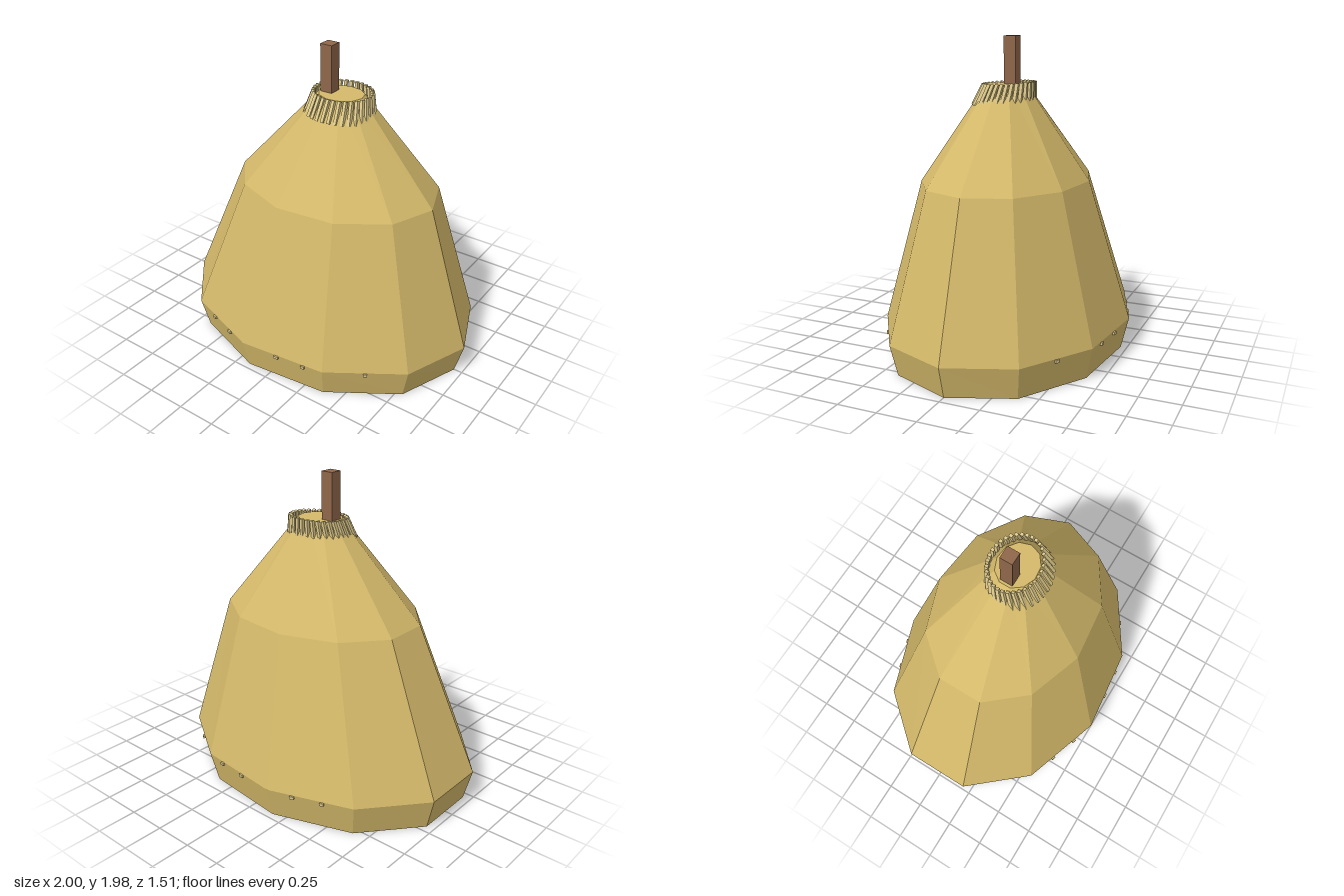
import * as THREE from 'three';

const SIDES = 11;

// Faceted shell lofted through elliptical rings [y, centreX, radiusX, radiusZ], closed at both ends
function loft(rings) {
  const pos = [];
  const point = ([y, cx, rx, rz], k) => {
    const a = (k / SIDES) * Math.PI * 2;
    return [cx + rx * Math.cos(a), y, rz * Math.sin(a)];
  };
  const tri = (a, b, c) => pos.push(...a, ...b, ...c);
  const low = rings[0], high = rings[rings.length - 1];
  for (let k = 0; k < SIDES; k++) {
    for (let i = 0; i < rings.length - 1; i++) {
      const a = point(rings[i], k), b = point(rings[i], k + 1);
      const c = point(rings[i + 1], k + 1), d = point(rings[i + 1], k);
      tri(a, d, c);
      tri(a, c, b);
    }
    tri([low[1], low[0], 0], point(low, k), point(low, k + 1));
    tri([high[1], high[0], 0], point(high, k + 1), point(high, k));
  }
  const g = new THREE.BufferGeometry();
  g.setAttribute('position', new THREE.Float32BufferAttribute(pos, 3));
  g.computeVertexNormals();
  return g;
}

export function createModel() {
  const model = new THREE.Group();
  const gold = new THREE.MeshStandardMaterial({ name: 'thatch gold', color: 0xd4b96a });
  const pale = new THREE.MeshStandardMaterial({ name: 'pale straw', color: 0xdcc88a });
  const brown = new THREE.MeshStandardMaterial({ name: 'wood brown', color: 0x8f674a });

  const add = (name, geometry, material, parent = model) => {
    const m = new THREE.Mesh(geometry, material);
    m.name = name;
    parent.add(m);
    return m;
  };

  // Bell-shaped body
  add('body', loft([
    [0, -0.022, 0.967, 0.717],
    [0.2, -0.021, 1.021, 0.765],
    [1.1, 0.039, 0.676, 0.512],
    [1.688, 0.06, 0.147, 0.127],
  ]), gold);

  // Square wooden stem
  add('stem', new THREE.BoxGeometry(0.08, 0.385, 0.08), brown).position.set(-0.025, 1.79, 0);

  // Collar of straws around the neck, leaning outwards as they run down into the body
  const collar = new THREE.Group();
  collar.name = 'strawCollar';
  model.add(collar);
  const COUNT = 32;
  for (let i = 0; i < COUNT; i++) {
    const a = (i / COUNT) * Math.PI * 2;
    const top = new THREE.Vector3(0.06 + 0.165 * Math.cos(a), 1.7, 0.135 * Math.sin(a));
    const foot = new THREE.Vector3(0.06 + 0.242 * Math.cos(a), 1.56, 0.2 * Math.sin(a));
    const up = top.clone().sub(foot);
    const length = up.length();
    up.normalize();
    const side = new THREE.Vector3(-Math.sin(a), 0, Math.cos(a));
    const out = new THREE.Vector3().crossVectors(up, side).normalize();
    side.crossVectors(out, up);
    const straw = add('straw', new THREE.BoxGeometry(0.02, length, 0.022), pale, collar);
    straw.quaternion.setFromRotationMatrix(new THREE.Matrix4().makeBasis(side, up, out));
    straw.position.copy(top).add(foot).multiplyScalar(0.5);
  }

  // Straw tips poking through the hem: [x, z, turn, width], mirrored front to back
  const tips = [
    [-0.5, 0.64, -0.33, 0.026], [-0.32, 0.702, -0.33, 0.028], [0.08, 0.728, 0.107, 0.03],
    [0.27, 0.708, 0.107, 0.024], [0.62, 0.552, 0.577, 0.024],
  ];
  for (const [x, z, turn, width] of tips) {
    for (const s of [1, -1]) {
      const tip = add('hemStrawTip', new THREE.BoxGeometry(width, 0.018, 0.024), pale);
      tip.position.set(x, 0.186, z * s);
      tip.rotation.y = turn * s;
    }
  }
  return model;
}
